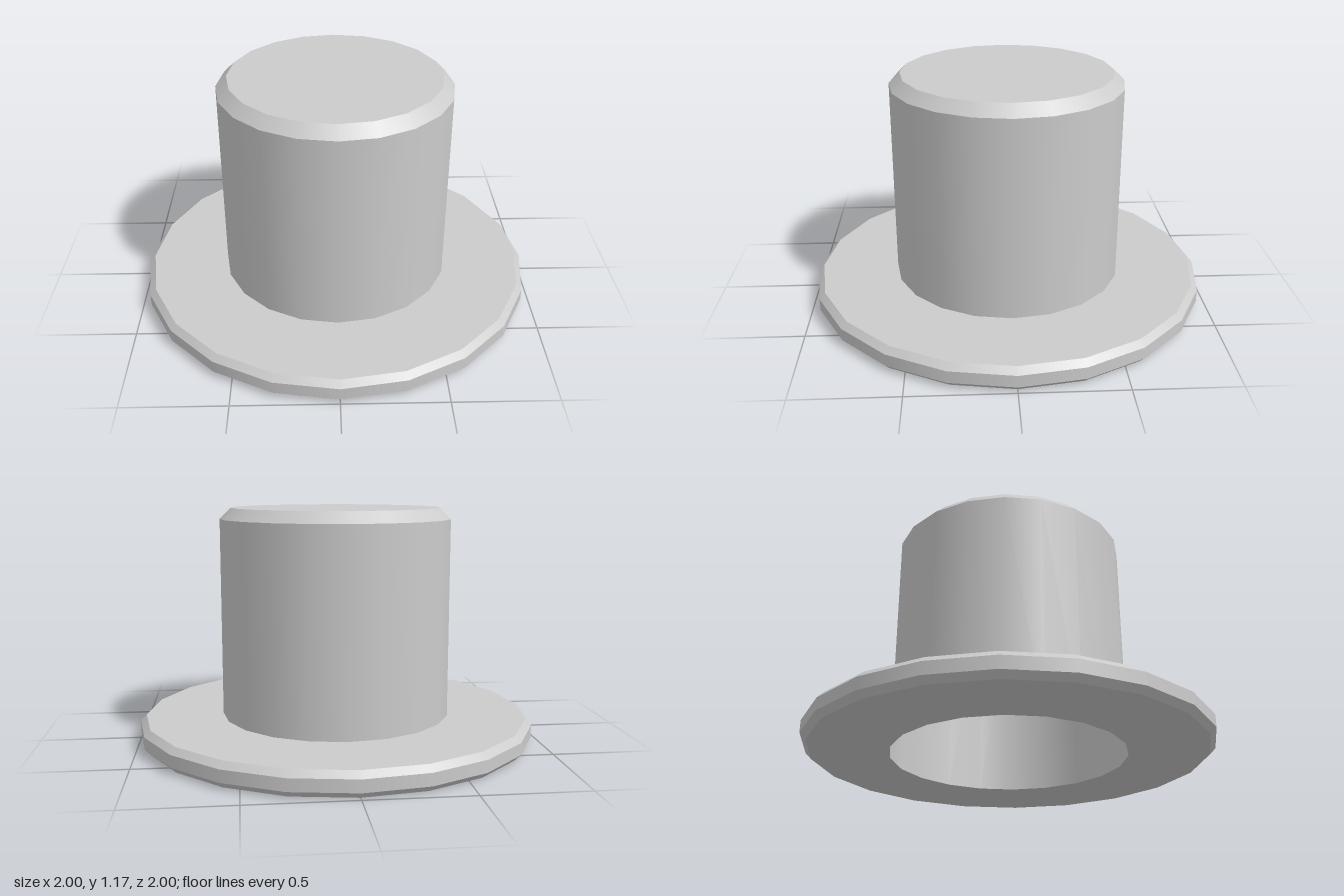
import * as THREE from 'three';
import { mergeGeometries } from 'three/addons/utils/BufferGeometryUtils.js';

const SIDES = 20;

// Revolves each profile segment separately: smooth around, sharp between bands.
function bandedLathe(name, profile, material) {
  const bands = [];
  for (let i = 0; i < profile.length - 1; i++) {
    const pair = [profile[i], profile[i + 1]].map(([r, y]) => new THREE.Vector2(r, y));
    bands.push(new THREE.LatheGeometry(pair, SIDES));
  }
  const mesh = new THREE.Mesh(mergeGeometries(bands), material);
  mesh.name = name;
  return mesh;
}

export function createModel() {
  const group = new THREE.Group();
  group.name = 'topHat';
  const grey = new THREE.MeshStandardMaterial({ color: 0xcccccc, side: THREE.DoubleSide });

  // Flat brim ring with bevelled rim, open in the middle
  group.add(bandedLathe('brim', [
    [0.58, 0], [0.97, 0], [1, 0.03], [1, 0.09], [0.97, 0.12], [0.58, 0.12],
  ], grey));

  // Hollow crown with a chamfered, closed top
  group.add(bandedLathe('crown', [
    [0.58, 0], [0.58, 1.113], [0.525, 1.168], [0, 1.168],
  ], grey));

  return group;
}
